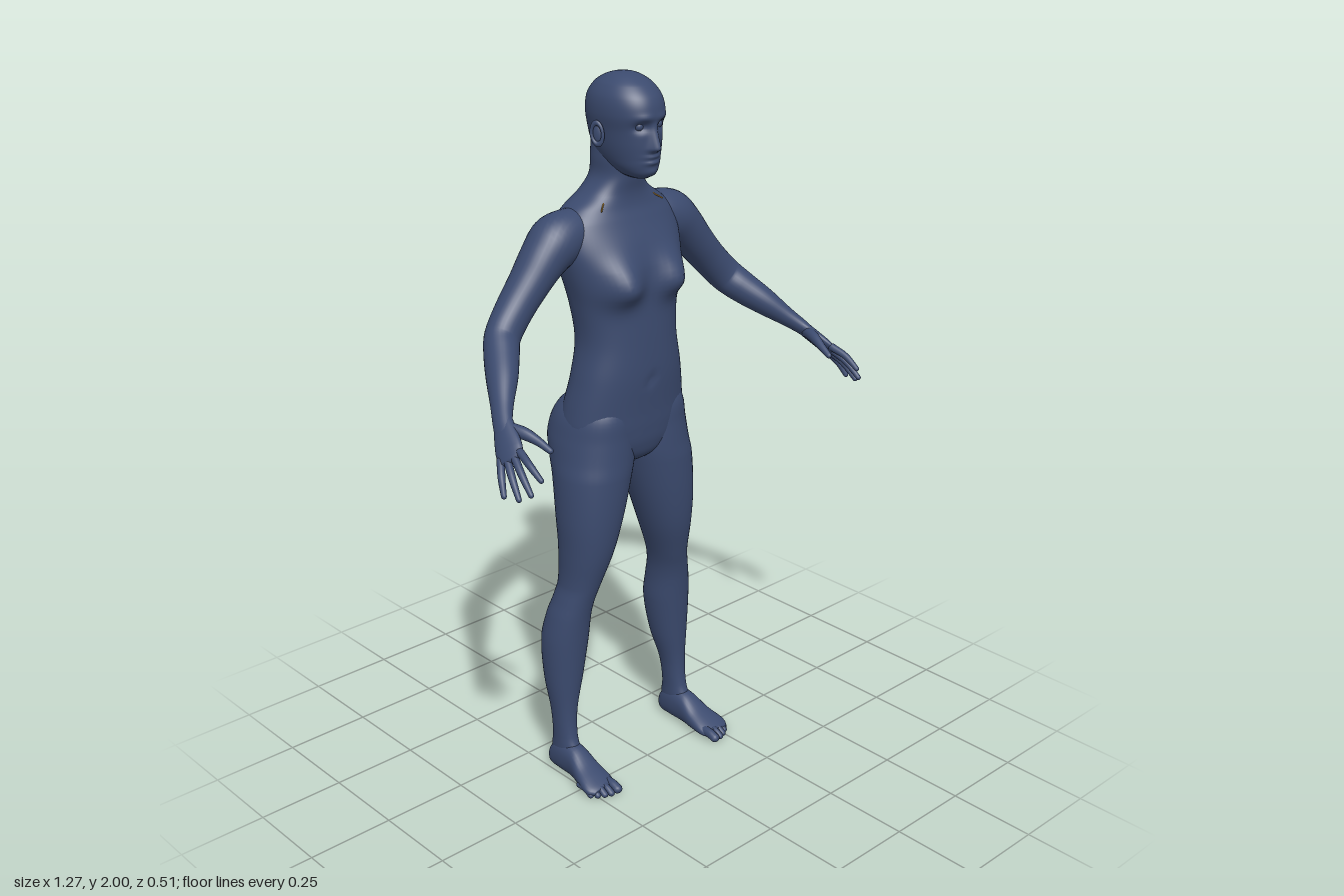
import * as THREE from 'three';

const skin = new THREE.MeshStandardMaterial({ color: 0x3b4a6e });
const gold = new THREE.MeshStandardMaterial({ color: 0xb8862b });
const V = (x, y, z) => new THREE.Vector3(x, y, z);
const bump = (d, w) => Math.exp(-((d / w) ** 2));

// Smoothly interpolate rows of numbers, keyed by their first entry
function smoothRows(rows, steps) {
  const out = [];
  const slope = (i, k) => {
    const a = rows[Math.max(i - 1, 0)], b = rows[Math.min(i + 1, rows.length - 1)];
    return (b[k] - a[k]) / (b[0] - a[0]);
  };
  for (let i = 0; i < rows.length - 1; i++) {
    const p = rows[i], q = rows[i + 1], span = q[0] - p[0];
    for (let s = 0; s < steps; s++) {
      const t = s / steps, t2 = t * t, t3 = t2 * t;
      out.push(p.map((v, k) => v * (2 * t3 - 3 * t2 + 1) + q[k] * (3 * t2 - 2 * t3)
        + span * (slope(i, k) * (t3 - 2 * t2 + t) + slope(i + 1, k) * (t3 - t2))));
    }
  }
  out.push(rows[rows.length - 1]);
  return out;
}

// Skin a list of equal rings and close both ends
function skinRings(rings) {
  const n = rings[0].length, m = rings.length, index = [];
  const points = rings.flat();
  for (const ring of [rings[0], rings[m - 1]]) {
    points.push(ring.reduce((s, p) => s.add(p), V(0, 0, 0)).divideScalar(n));
  }
  for (let j = 0; j < n; j++) {
    const k = (j + 1) % n;
    for (let i = 0; i < m - 1; i++) {
      const a = i * n + j, b = i * n + k;
      index.push(a, a + n, b, b, a + n, b + n);
    }
    index.push(m * n, j, k, m * n + 1, (m - 1) * n + k, (m - 1) * n + j);
  }
  const geo = new THREE.BufferGeometry().setFromPoints(points);
  geo.setIndex(index);
  geo.computeVertexNormals();
  return geo;
}

// Stack of horizontal rounded sections: [y, xMin, xMax, zBack, zFront]
function stack(rows, { n = 32, steps = 6, power = 2, shape } = {}) {
  const round = (v) => Math.sign(v) * Math.abs(v) ** (2 / power);
  return skinRings(smoothRows(rows, steps).map(([y, x0, x1, z0, z1]) =>
    Array.from({ length: n }, (_, j) => {
      const a = (j / n) * Math.PI * 2;
      const p = V((x0 + x1) / 2 + (x1 - x0) / 2 * round(Math.cos(a)), y,
        (z0 + z1) / 2 + (z1 - z0) / 2 * round(Math.sin(a)));
      if (shape) shape(p, Math.sin(a));
      return p;
    })));
}

// Round-ended limb through [x, y, z, radiusAcross, radiusThrough]
function limb(path, across, { n = 14, steps = 5 } = {}) {
  let length = 0;
  const rows = smoothRows(path.map((p, i) => {
    if (i) length += Math.hypot(...[0, 1, 2].map((k) => p[k] - path[i - 1][k]));
    return [length, ...p];
  }), steps);
  const rings = [], last = rows.length - 1;
  rows.forEach((r, i) => {
    const at = (k) => V(...rows[Math.min(Math.max(k, 0), last)].slice(1, 4));
    const T = at(i + 1).sub(at(i - 1)).normalize();
    const N = across.clone().addScaledVector(T, -across.dot(T)).normalize();
    const B = N.clone().cross(T);
    const ring = (turn) => {
      const c = at(i).addScaledVector(T, Math.min(r[4], r[5]) * Math.sin(turn));
      rings.push(Array.from({ length: n }, (_, j) => {
        const a = (j / n) * Math.PI * 2, s = Math.cos(turn);
        return c.clone().addScaledVector(N, s * r[4] * Math.cos(a)).addScaledVector(B, s * r[5] * Math.sin(a));
      }));
    };
    if (i === 0) [-1.5, -1.1, -0.75, -0.35].forEach(ring);
    ring(0);
    if (i === last) [0.35, 0.75, 1.1, 1.5].forEach(ring);
  });
  return skinRings(rings);
}

function mirrored(geo) {
  const g = geo.clone().scale(-1, 1, 1), ix = g.index.array;
  for (let i = 0; i < ix.length; i += 3) [ix[i], ix[i + 1]] = [ix[i + 1], ix[i]];
  g.computeVertexNormals();
  return g;
}

export function createModel() {
  const model = new THREE.Group();
  model.name = 'humanFigure';
  const add = (name, geo, material = skin) => {
    const mesh = new THREE.Mesh(geo, material);
    mesh.name = name;
    model.add(mesh);
  };
  const addPair = (name, geo, material) => {
    add('left' + name, geo, material);
    add('right' + name, mirrored(geo), material);
  };
  const even = (rows) => rows.map(([y, w, zb, zf]) => [y, -w, w, zb, zf]);

  // Torso and neck, with chest, spine and navel shaped into the surface
  add('torso', stack(even([
    [0.93, 0.02, -0.15, -0.06], [0.96, 0.09, -0.18, -0.015], [1.0, 0.165, -0.205, 0.003],
    [1.05, 0.192, -0.216, 0.01], [1.1, 0.19, -0.214, 0.013], [1.2, 0.17, -0.194, 0.02],
    [1.3, 0.152, -0.19, 0.018], [1.4, 0.162, -0.203, 0.012], [1.5, 0.185, -0.222, 0.005],
    [1.56, 0.195, -0.23, -0.012], [1.62, 0.185, -0.228, -0.038], [1.655, 0.152, -0.218, -0.052],
    [1.69, 0.1, -0.205, -0.056], [1.73, 0.067, -0.193, -0.05], [1.78, 0.063, -0.19, -0.045],
    [1.82, 0.06, -0.188, -0.05]]), {
    n: 72, steps: 7, power: 2.25,
    shape(p, side) {
      const x = Math.abs(p.x);
      if (side > 0) {
        p.z += 0.046 * bump(x - 0.088, 0.055) * bump(p.y - 1.455, p.y < 1.455 ? 0.042 : 0.07);
        p.z -= 0.008 * bump(x, 0.012) * bump(p.y - 1.19, 0.015);
      } else p.z += 0.022 * side * side * bump(x, 0.03) * bump(p.y - 1.36, 0.22);
    },
  }));

  // Head, with sockets, nose, lips and chin shaped into the surface
  add('head', stack(even([
    [1.735, 0.02, -0.07, -0.005], [1.745, 0.038, -0.09, 0.013], [1.765, 0.055, -0.13, 0.021],
    [1.79, 0.066, -0.165, 0.023], [1.82, 0.074, -0.186, 0.025], [1.86, 0.08, -0.197, 0.026],
    [1.9, 0.086, -0.201, 0.032], [1.94, 0.082, -0.194, 0.022], [1.97, 0.066, -0.172, -0.004],
    [1.987, 0.046, -0.145, -0.032], [1.996, 0.026, -0.118, -0.058], [2.0, 0.003, -0.091, -0.085]]), {
    n: 96, steps: 8, power: 2.15,
    shape(p, side) {
      if (side <= 0) return;
      const x = Math.abs(p.x), t = (1.885 - p.y) / 0.068;
      const nose = t < 0 ? 0 : t < 1 ? t : Math.max(0, 1 - (t - 1) * 5);
      p.z += 0.026 * nose * bump(x, 0.008 + 0.007 * Math.min(Math.max(t, 0), 1));
      p.z -= 0.014 * bump(x - 0.033, 0.018) * bump(p.y - 1.873, 0.013);
      p.z += 0.004 * bump(x - 0.03, 0.025) * bump(p.y - 1.896, 0.009);
      p.z += 0.007 * bump(x, 0.022) * (bump(p.y - 1.796, 0.006) + bump(p.y - 1.78, 0.006));
      p.z += 0.004 * bump(x, 0.02) * bump(p.y - 1.755, 0.01);
    },
  }));
  addPair('Eye', new THREE.SphereGeometry(0.012, 20, 14).translate(0.033, 1.874, 0.003));

  // Ears: a shallow bowl with a raised rim
  const placeEar = (g) => g.rotateY(Math.PI / 2 - 0.4).rotateX(-0.15).translate(0.086, 1.85, -0.092);
  addPair('Ear', placeEar(new THREE.SphereGeometry(1, 20, 14).scale(0.016, 0.028, 0.008)));
  addPair('EarRim', placeEar(new THREE.TorusGeometry(0.018, 0.005, 8, 24).scale(0.9, 1.5, 1).translate(0, 0, 0.006)));

  // Legs, whose tops form the hips and buttocks
  addPair('Leg', stack([
    [0.025, 0.192, 0.248, -0.165, -0.06], [0.07, 0.19, 0.248, -0.164, -0.055],
    [0.12, 0.189, 0.247, -0.157, -0.073], [0.2, 0.18, 0.25, -0.164, -0.08],
    [0.3, 0.153, 0.26, -0.188, -0.075], [0.42, 0.132, 0.263, -0.2, -0.065],
    [0.5, 0.13, 0.251, -0.186, -0.056], [0.55, 0.125, 0.236, -0.172, -0.047],
    [0.6, 0.112, 0.223, -0.165, -0.034], [0.7, 0.075, 0.222, -0.172, -0.008],
    [0.8, 0.042, 0.225, -0.187, 0.005], [0.92, 0.006, 0.221, -0.213, 0.01],
    [0.97, -0.01, 0.214, -0.237, 0.008], [1.03, -0.014, 0.205, -0.253, 0.005],
    [1.1, 0, 0.186, -0.228, 0], [1.16, 0.03, 0.14, -0.17, -0.03]], { n: 40, power: 2.1 }));

  // Feet: sections from heel to ball, laid forward
  addPair('Foot', stack([
    [-0.17, 0.21, 0.23, -0.045, -0.02], [-0.158, 0.194, 0.246, -0.07, -0.004],
    [-0.12, 0.186, 0.253, -0.1, 0], [-0.06, 0.184, 0.256, -0.096, 0],
    [-0.01, 0.179, 0.268, -0.064, 0], [0.03, 0.177, 0.278, -0.045, 0],
    [0.052, 0.181, 0.276, -0.034, -0.001], [0.066, 0.19, 0.262, -0.026, -0.006]],
  { n: 28, power: 2.3 }).rotateX(Math.PI / 2));
  [[0.196, 0.086, 0.0145], [0.219, 0.085, 0.0105], [0.237, 0.078, 0.01], [0.254, 0.067, 0.0095], [0.268, 0.053, 0.009]]
    .forEach(([x, z, r], i) => addPair('Toe' + (i + 1), limb([
      [x, 0.021, z - 0.05, r, r], [x, 0.02, z - 0.02, r * 0.95, r], [x, r, z, r, r * 0.9]], V(1, 0, 0), { n: 12 })));

  // Arms from inside the shoulder to the wrist
  const spread = V(-0.44, 0.49, 0.75);
  addPair('Arm', limb([
    [0.09, 1.6, -0.14, 0.055, 0.05], [0.15, 1.594, -0.137, 0.068, 0.064], [0.2, 1.578, -0.133, 0.071, 0.072],
    [0.245, 1.543, -0.13, 0.064, 0.063], [0.295, 1.49, -0.127, 0.056, 0.054], [0.35, 1.43, -0.123, 0.05, 0.05],
    [0.402, 1.374, -0.108, 0.045, 0.049], [0.43, 1.343, -0.078, 0.046, 0.046],
    [0.472, 1.3, -0.025, 0.042, 0.038], [0.515, 1.256, 0.027, 0.031, 0.026],
    [0.542, 1.228, 0.062, 0.027, 0.02], [0.555, 1.21, 0.085, 0.028, 0.017]], spread, { n: 32 }));

  // Hands
  addPair('Palm', limb([
    [0.54, 1.23, 0.06, 0.026, 0.018], [0.558, 1.204, 0.094, 0.034, 0.017],
    [0.573, 1.181, 0.124, 0.039, 0.015], [0.582, 1.167, 0.143, 0.036, 0.012]], spread, { n: 24 }));
  const fingers = [
    ['IndexFinger', 0.03, [0.575, 1.14, 0.247]], ['MiddleFinger', 0.01, [0.598, 1.105, 0.236]],
    ['RingFinger', -0.01, [0.615, 1.09, 0.21]], ['LittleFinger', -0.029, [0.626, 1.088, 0.166]]];
  for (const [name, offset, tip] of fingers) {
    const base = V(0.58, 1.17, 0.137).addScaledVector(spread, offset);
    const mid = base.clone().lerp(V(...tip), 0.5).add(V(0.004, 0.004, 0.002));
    addPair(name, limb([[...base, 0.0105, 0.011], [...mid, 0.0095, 0.0095], [...tip, 0.007, 0.007]], spread));
  }
  addPair('Thumb', limb([
    [0.543, 1.218, 0.085, 0.018, 0.016], [0.527, 1.213, 0.128, 0.016, 0.015],
    [0.514, 1.199, 0.168, 0.011, 0.011], [0.507, 1.184, 0.201, 0.008, 0.008]], spread));

  // Thin slivers beside the neck
  addPair('NeckSliver', limb([[0.078, 1.677, -0.08, 0.002, 0.002], [0.107, 1.656, -0.058, 0.002, 0.002]],
    V(0, 1, 0), { n: 6, steps: 1 }), gold);

  return model;
}
